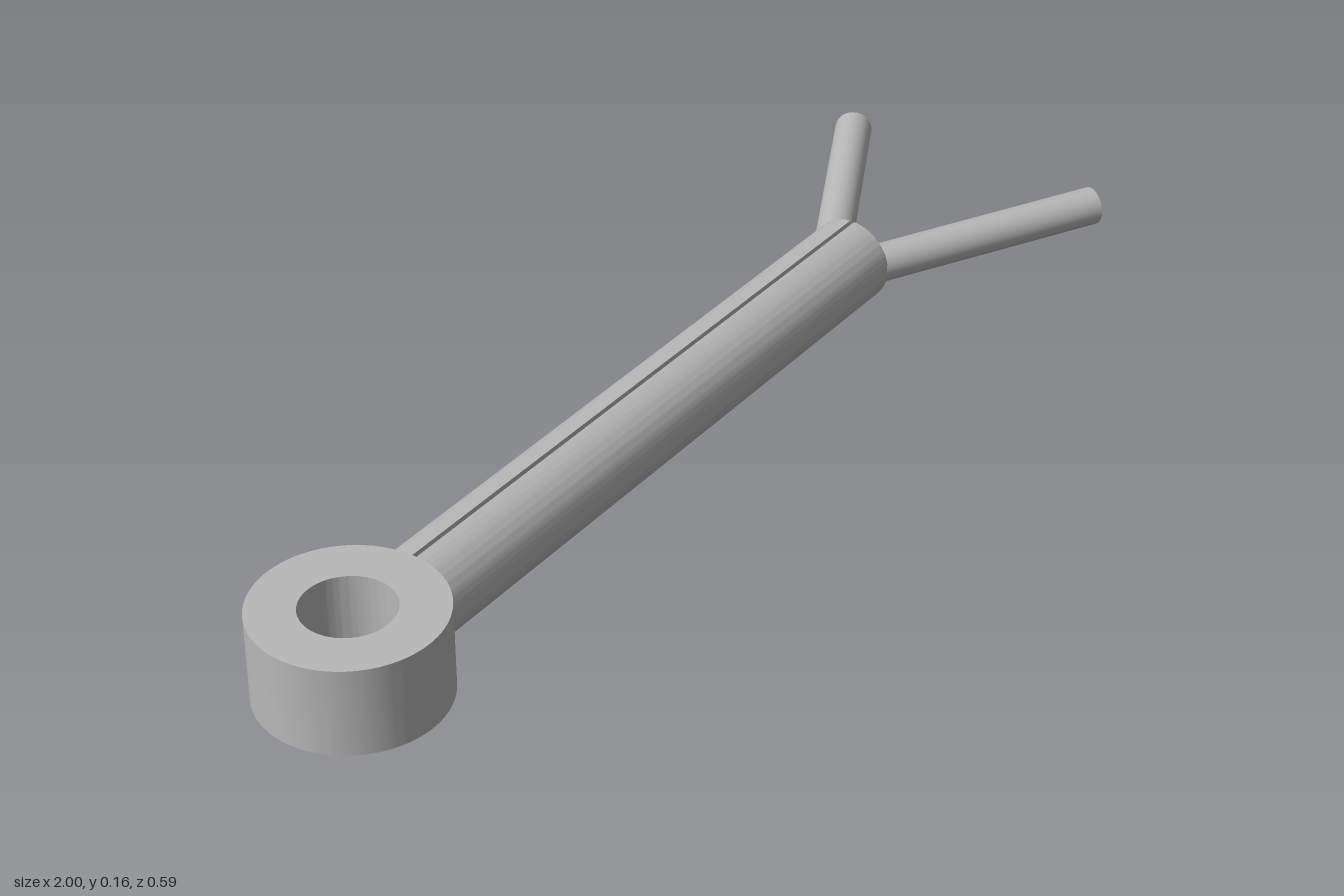
import * as THREE from 'three';
import { toCreasedNormals } from 'three/addons/utils/BufferGeometryUtils.js';

const R = 0.0785;        // shaft radius, also half the eye height
const GAP = 0.004;       // half the width of the slit
const SHAFT_START = -0.697, SHAFT_END = 0.56;

// Straight extrusion with smooth curved walls and sharp rims
function extrude(shape, depth) {
  const geo = new THREE.ExtrudeGeometry(shape, { depth, bevelEnabled: false, curveSegments: 48 });
  return toCreasedNormals(geo, 0.6);
}

export function createModel() {
  const model = new THREE.Group();
  model.name = 'splitPin';
  const steel = new THREE.MeshStandardMaterial({ color: 0xb8b8b8 });
  steel.name = 'greySteel';

  const add = (name, geo) => {
    const mesh = new THREE.Mesh(geo, steel);
    mesh.name = name;
    model.add(mesh);
    return mesh;
  };

  // Eye: a thick ring lying flat
  const ring = new THREE.Shape().absarc(0, 0, 0.157, 0, Math.PI * 2, false);
  ring.holes.push(new THREE.Path().absarc(0, 0, 0.077, 0, Math.PI * 2, true));
  const eye = extrude(ring, 2 * R);
  eye.rotateX(-Math.PI / 2);
  add('eye', eye).position.set(-0.843, 0, 0);

  for (const side of [1, -1]) {
    const label = side > 0 ? 'front' : 'back';

    // Half-round shaft, flat face towards the slit
    const a = Math.acos(GAP / R);
    const mid = side > 0 ? Math.PI : 0;
    const half = new THREE.Shape().absarc(0, 0, R, mid - a, mid + a, false);
    half.closePath();
    const shaft = extrude(half, SHAFT_END - SHAFT_START);
    shaft.rotateY(Math.PI / 2);
    add(label + 'ShaftHalf', shaft).position.set(SHAFT_START, R, 0);

    // Splayed leg
    const from = new THREE.Vector3(SHAFT_END, R + 0.0005, side * 0.041);
    const to = new THREE.Vector3(0.982, R + 0.0005, side * 0.262);
    const dir = to.clone().sub(from);
    const leg = add(label + 'Leg', new THREE.CylinderGeometry(0.035, 0.035, dir.length(), 48));
    leg.position.copy(from).add(to).multiplyScalar(0.5);
    leg.quaternion.setFromUnitVectors(new THREE.Vector3(0, 1, 0), dir.normalize());
  }
  return model;
}
